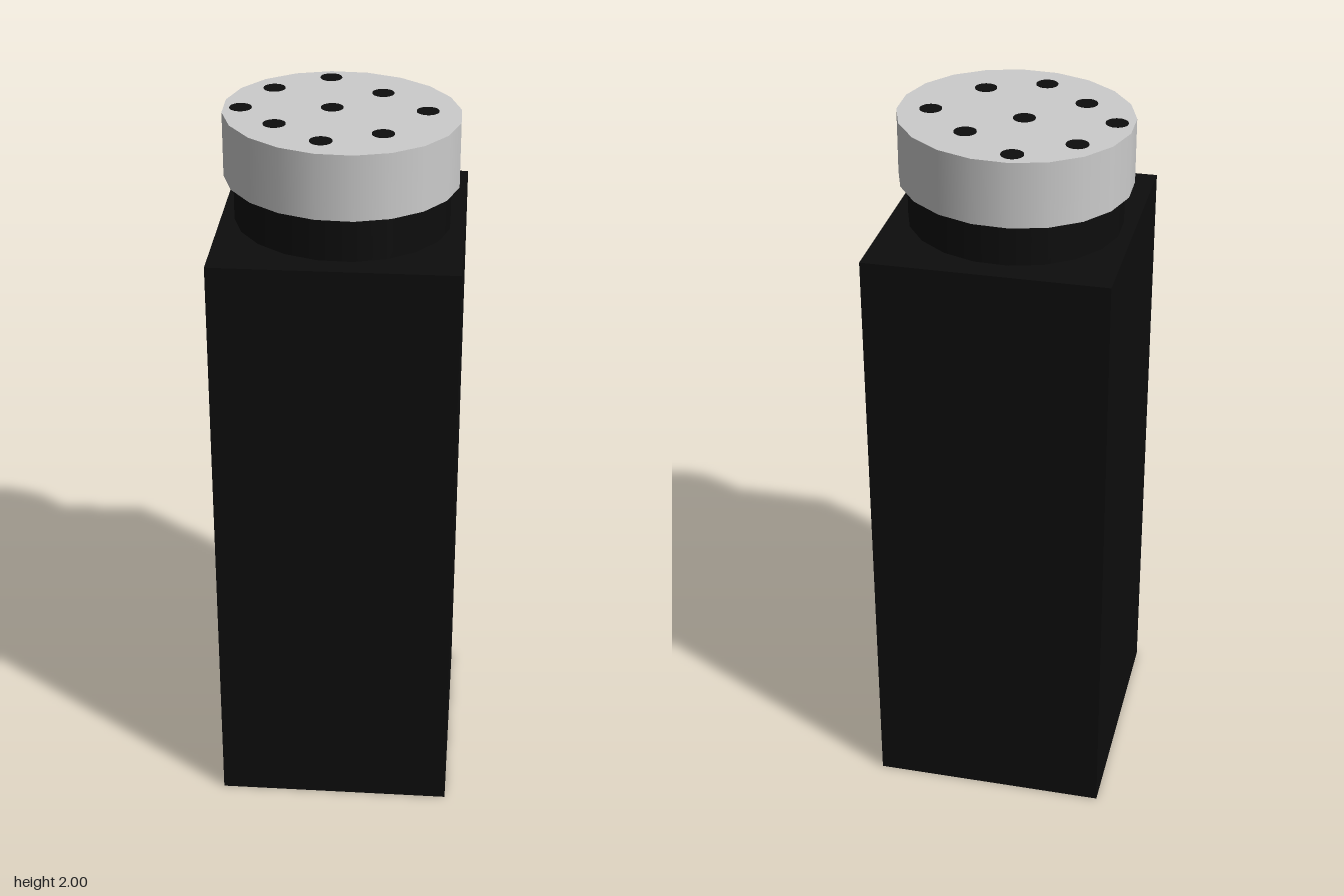
import * as THREE from 'three';

export function createModel() {
  const group = new THREE.Group();
  const black = new THREE.MeshStandardMaterial({ color: 0x0d0d0d });
  const grey = new THREE.MeshStandardMaterial({ color: 0xcccccc });

  function add(name, geometry, material, x, y, z) {
    const mesh = new THREE.Mesh(geometry, material);
    mesh.name = name;
    mesh.position.set(x, y, z);
    group.add(mesh);
    return mesh;
  }

  // Slightly oval disc or drum standing between two heights
  function drum(name, rx, rz, bottom, top, x, z, sides, material) {
    const geometry = new THREE.CylinderGeometry(1, 1, top - bottom, sides);
    geometry.scale(rx, 1, rz);
    return add(name, geometry, material, x, (bottom + top) / 2, z);
  }

  // Rectangular body, turned corner-on to the front
  const body = add('body', new THREE.BoxGeometry(0.66, 1.7, 0.72), black, 0, 0.85, 0);
  body.rotation.y = -0.766;

  // Neck and shaker cap
  drum('neck', 0.288, 0.303, 1.69, 1.83, -0.002, 0, 20, black);
  drum('cap', 0.31, 0.331, 1.82, 1.998, 0, -0.006, 20, grey);

  // Pouring holes, shown as dark discs on the cap
  const holes = [
    [-0.19, -0.198], [-0.026, -0.263], [0.148, -0.232],
    [-0.197, -0.043], [-0.003, -0.043], [0.175, -0.043],
    [-0.182, 0.131], [-0.026, 0.193], [0.174, 0.14],
  ];
  holes.forEach(([x, z], i) => drum(`hole${i + 1}`, 0.03, 0.03, 1.99, 2, x, z, 24, black));

  return group;
}
